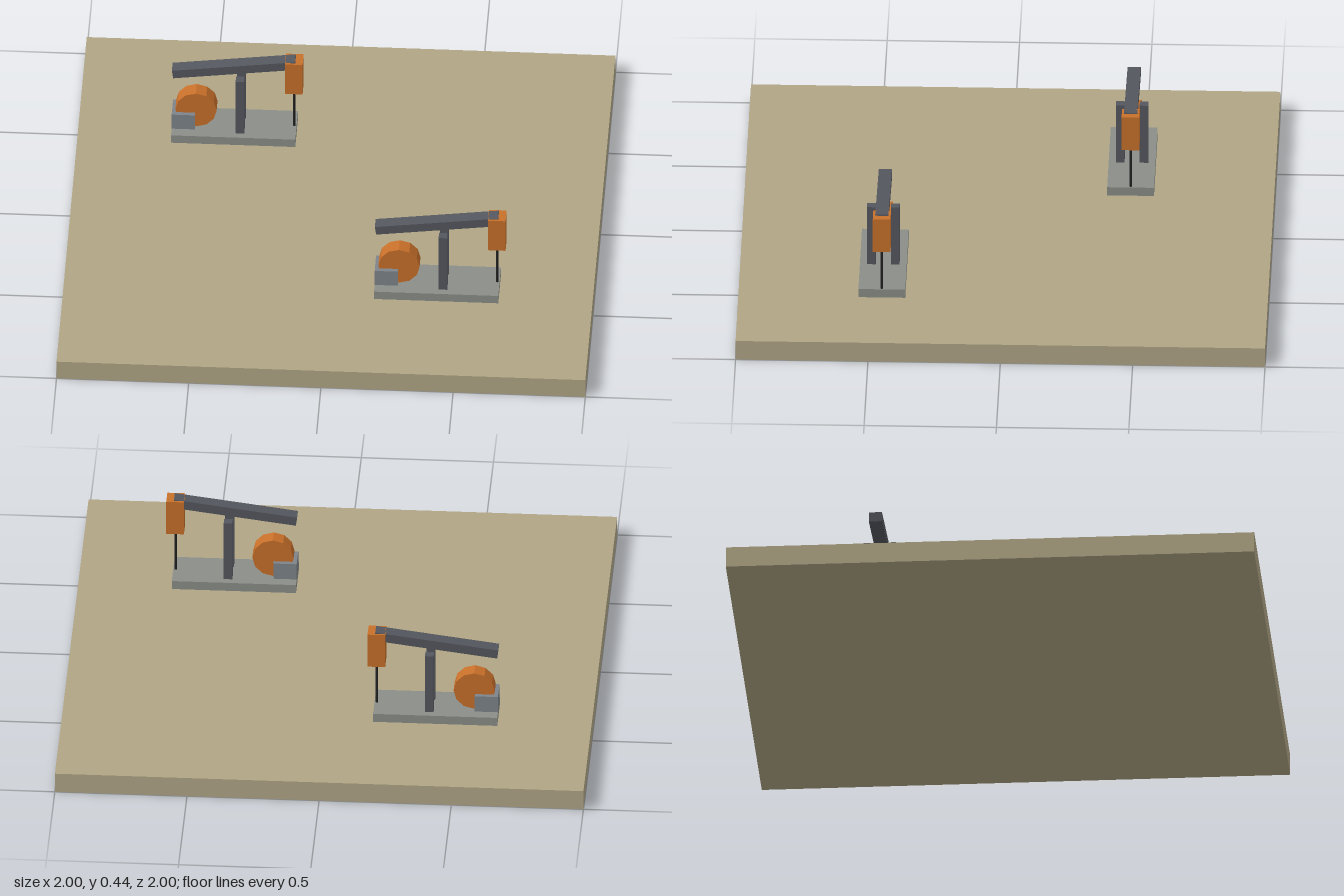
import * as THREE from 'three';

const mat = (color) => new THREE.MeshStandardMaterial({ color, flatShading: true });
const sand = mat(0xb0a585);
const orange = mat(0xc8702a);
const steel = mat(0x55575f);
const concrete = mat(0x8b8e88);
const motorGrey = mat(0x7d848a);
const black = mat(0x222222);

function add(parent, name, geometry, material, x, y, z = 0) {
  const mesh = new THREE.Mesh(geometry, material);
  mesh.name = name;
  mesh.position.set(x, y, z);
  parent.add(mesh);
  return mesh;
}

const box = (w, h, d) => new THREE.BoxGeometry(w, h, d);

// One pump jack, standing on its own y = 0
function createPumpJack() {
  const jack = new THREE.Group();
  jack.name = 'pumpJack';
  add(jack, 'basePad', box(0.47, 0.035, 0.177), concrete, 0, 0.0175);

  // Pair of posts on either side of the beam
  for (const side of [-1, 1]) {
    add(jack, 'post', box(0.033, 0.246, 0.033), steel, 0.024, 0.158, side * 0.045);
  }

  // Tilted walking beam with its head and rod
  add(jack, 'walkingBeam', box(0.47, 0.036, 0.05), steel, 0, 0.307).rotation.z = 0.13;
  add(jack, 'beamHead', box(0.067, 0.141, 0.067), orange, 0.226, 0.28);
  add(jack, 'pumpRod', new THREE.CylinderGeometry(0.005, 0.005, 0.19, 6), black, 0.226, 0.122);

  // Counterweight wheel and motor housing
  const wheel = new THREE.CylinderGeometry(0.078, 0.078, 0.06, 12).rotateX(Math.PI / 2);
  add(jack, 'counterweight', wheel, orange, -0.144, 0.115);
  add(jack, 'motorHousing', box(0.088, 0.068, 0.094), motorGrey, -0.191, 0.068);
  return jack;
}

export function createModel() {
  const model = new THREE.Group();
  model.name = 'oilField';
  add(model, 'ground', box(2, 0.08, 2), sand, 0, 0.04);

  for (const side of [-1, 1]) {
    const jack = createPumpJack();
    jack.position.set(side * 0.41, 0.08, side * 0.458);
    model.add(jack);
  }
  return model;
}
